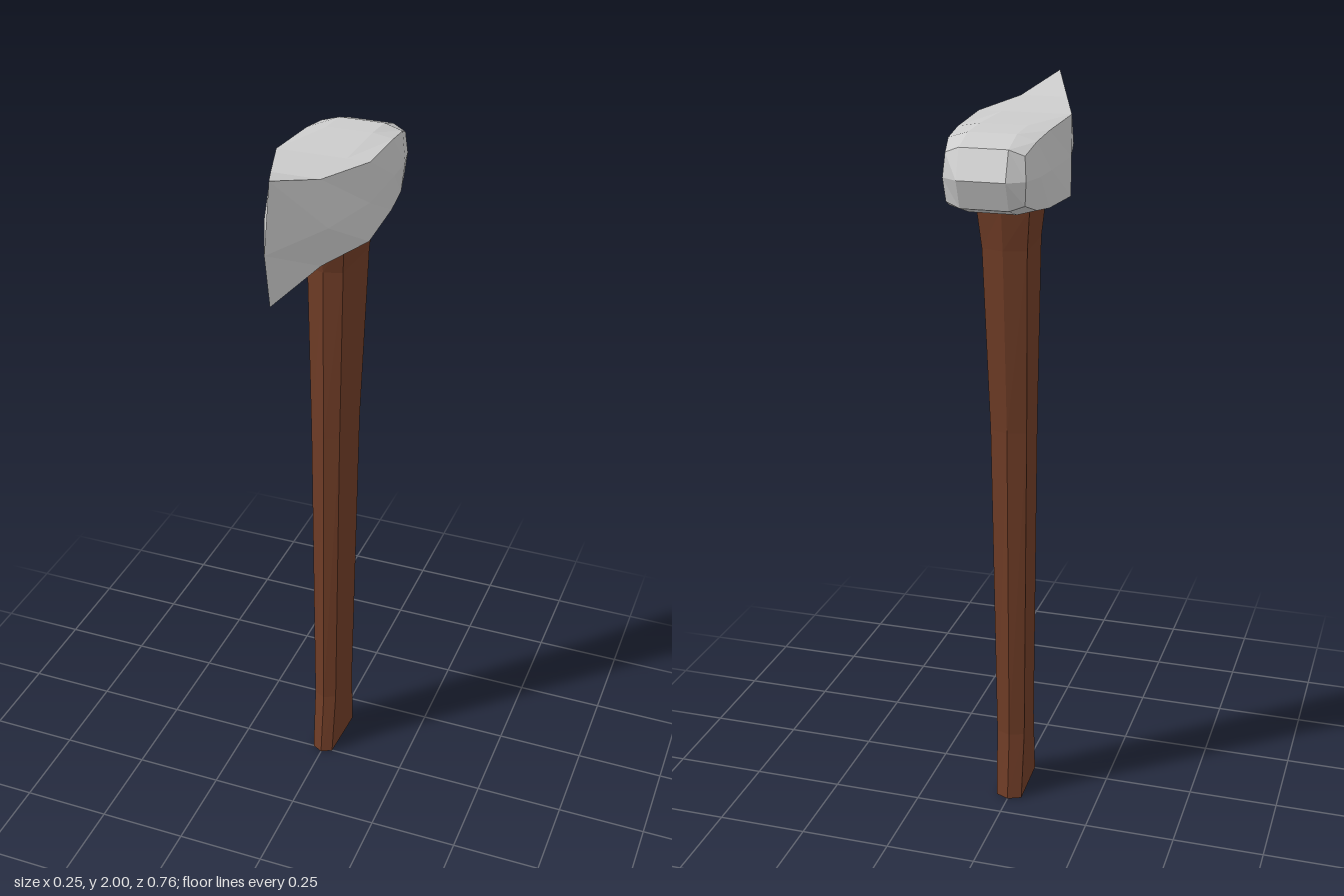
import * as THREE from 'three';

// Skin a list of equal-length rings; each ring runs counter-clockwise seen from the first ring's side.
function loft(rings) {
  const pos = [];
  const tri = (...pts) => {
    const [a, b, c] = pts.map((p) => new THREE.Vector3(...p));
    if (b.clone().sub(a).cross(c.clone().sub(a)).length() > 1e-7) pts.forEach((p) => pos.push(...p));
  };
  for (let i = 0; i < rings.length - 1; i++) {
    const n = rings[i].length;
    for (let j = 0; j < n; j++) {
      const k = (j + 1) % n;
      const a = rings[i][j], b = rings[i][k], c = rings[i + 1][k], d = rings[i + 1][j];
      tri(a, d, b);
      tri(d, c, b);
    }
  }
  const g = new THREE.BufferGeometry();
  g.setAttribute('position', new THREE.Float32BufferAttribute(pos, 3));
  g.computeVertexNormals();
  return g;
}

function part(name, geometry, color) {
  const mesh = new THREE.Mesh(geometry, new THREE.MeshStandardMaterial({ color, flatShading: true }));
  mesh.name = name;
  return mesh;
}

// Head section: side point, edge and inner points above and below, mirrored in x.
function headRing([mid, topEdge, topInner, botEdge, botInner]) {
  const m = ([x, y, z]) => [-x, y, z];
  return [mid, topEdge, topInner, m(topInner), m(topEdge), m(mid),
    m(botEdge), m(botInner), botInner, botEdge];
}

// Plain head section at one z: side width, edge width, inner width and the four heights.
function section(z, wMid, wEdge, wIn, topE, topI, botE, botI) {
  return [[wMid, 1.83, z], [wEdge, topE, z], [wIn, topI, z], [wEdge, botE, z], [wIn, botI, z]];
}

// Handle section: ridge at front and back, flat sides slightly wider at the back.
function handleRing([y, front, back, w]) {
  const b = 0.016, f = w * 0.82;
  return [[0, y, front], [f, y, front - b], [w, y, back + b],
    [0, y, back], [-w, y, back + b], [-f, y, front - b]];
}

export function createModel() {
  const group = new THREE.Group();

  // Axe head, from the cutting edge to the blunt back
  const edgeTop = [0, 2.0, 0.342], edgeBot = [0, 1.685, 0.35];
  const backTop = [0.062, 1.905, -0.353], backBot = [0.062, 1.757, -0.353];
  const head = [
    [[0, 1.83, 0.378], edgeTop, edgeTop, edgeBot, edgeBot],
    section(0.18, 0.083, 0.064, 0.032, 1.952, 1.952, 1.728, 1.728),
    section(0, 0.124, 0.124, 0.062, 1.937, 1.937, 1.727, 1.727),
    section(-0.19, 0.124, 0.118, 0.062, 1.927, 1.936, 1.735, 1.726),
    section(-0.282, 0.121, 0.112, 0.062, 1.915, 1.93, 1.748, 1.734),
    [[0.105, 1.83, -0.352], [0.1, 1.89, -0.343], backTop, [0.1, 1.77, -0.343], backBot],
    [[0.062, 1.83, -0.38], backTop, backTop, backBot, backBot],
    [[0, 1.83, -0.38], [0, 1.905, -0.353], [0, 1.905, -0.353], [0, 1.757, -0.353], [0, 1.757, -0.353]],
  ].map(headRing);
  group.add(part('axeHead', loft(head), 0xcccccc));

  // Wooden handle, from inside the head down to the flared foot: y, front z, back z, half width
  const handle = [
    [1.78, 0.022, -0.22, 0.072],
    [1.73, 0.02, -0.215, 0.07],
    [1.62, 0.0, -0.202, 0.06],
    [1.12, -0.004, -0.172, 0.05],
    [0.2, -0.006, -0.162, 0.04],
    [0, 0.017, -0.182, 0.037],
  ].map(handleRing);
  // Slightly hollow underside
  handle.push(handle[0].map(() => [0, 0.012, -0.083]));
  group.add(part('handle', loft(handle), 0x6f3c26));

  return group;
}
